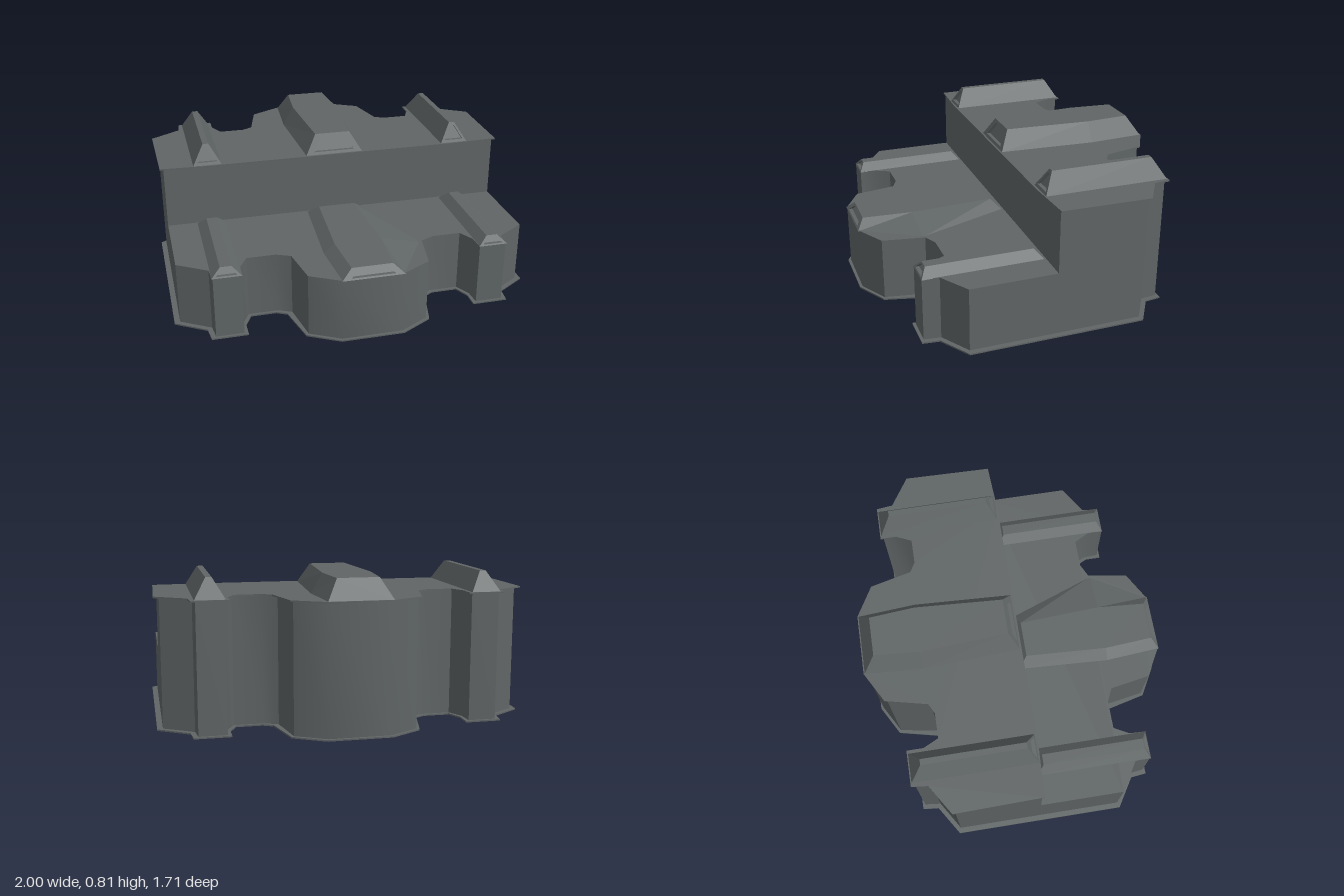
import * as THREE from 'three';
import { toCreasedNormals } from 'three/addons/utils/BufferGeometryUtils.js';

const stone = new THREE.MeshStandardMaterial({ color: 0x606565 });
stone.name = 'dark grey';

// Half outlines as [x, z], from the flank to the central bay
const wallLine = [[0.97, 0.47], [0.81, 0.57], [0.8, 0.66], [0.65, 0.66], [0.645, 0.57],
  [0.6, 0.485], [0.44, 0.485], [0.365, 0.52], [0.325, 0.75], [0.165, 0.84]];
const plateLine = [[1, 0.48], [0.835, 0.585], [0.825, 0.675], [0.63, 0.675], [0.63, 0.585],
  [0.59, 0.5], [0.45, 0.5], [0.395, 0.53], [0.34, 0.76], [0.17, 0.855]];

// One side of the footprint, running from +x to -x
function side(line, s) {
  const half = line.map(([x, z]) => [x, z * s]);
  return [...half, ...half.map(([x, z]) => [-x, z]).reverse()];
}

// Vertical prism between two heights
function prism(name, points, y0, y1) {
  const shape = new THREE.Shape(points.map(([x, z]) => new THREE.Vector2(x, z)));
  const geo = new THREE.ExtrudeGeometry(shape, { depth: y1 - y0, bevelEnabled: false });
  geo.rotateX(Math.PI / 2).translate(0, y1, 0);
  const mesh = new THREE.Mesh(toCreasedNormals(geo, 0.75), stone);
  mesh.name = name;
  return mesh;
}

// Roof ridge lofted through sections from back to front, with a recessed front panel.
// Section: [base z, top z, base left, top left, top right, base right]
function ridge(name, sections, y0, y1, x = 0) {
  const rings = sections.map(([zb, zt, bl, tl, tr, br]) => [
    new THREE.Vector3(x + bl, y0, zb), new THREE.Vector3(x + tl, y1, zt),
    new THREE.Vector3(x + tr, y1, zt), new THREE.Vector3(x + br, y0, zb)]);
  const front = rings[rings.length - 1];
  const centre = front.reduce((c, p) => c.addScaledVector(p, 0.25), new THREE.Vector3());
  const frame = front.map(p => p.clone().lerp(centre, 0.3));
  const recess = frame.map(p => p.clone().add(new THREE.Vector3(0, 0, -0.02)));
  rings.push(frame, recess);

  const pos = [];
  const quad = (a, b, c, d) => [a, b, c, a, c, d].forEach(p => pos.push(p.x, p.y, p.z));
  quad(...rings[0]);
  for (let i = 0; i < rings.length - 1; i++) {
    for (let k = 0; k < 4; k++) {
      const n = (k + 1) % 4;
      quad(rings[i][k], rings[i + 1][k], rings[i + 1][n], rings[i][n]);
    }
  }
  quad(...[...recess].reverse());
  const geo = new THREE.BufferGeometry();
  geo.setAttribute('position', new THREE.Float32BufferAttribute(pos, 3));
  geo.computeVertexNormals();
  const mesh = new THREE.Mesh(geo, stone);
  mesh.name = name;
  return mesh;
}

export function createModel() {
  const model = new THREE.Group();
  model.name = 'building';

  // Tall rear block, low front block
  model.add(prism('rearBlock', [[0.97, 0], ...side(wallLine, -1), [-0.97, 0]], 0.006, 0.7));
  model.add(prism('frontBlock', [[0.97, 0], ...side(wallLine, 1), [-0.97, 0]], 0.006, 0.355));

  // Overhanging base and roof plates
  model.add(prism('basePlate', [...side(plateLine, 1), ...side(plateLine, -1).reverse()], 0, 0.008));
  model.add(prism('roofPlate',
    [[0.99, 0.005], ...side(plateLine, -1), [-0.99, 0.005], [-0.72, 0.02], [0.72, 0.02]], 0.698, 0.706));

  // Central ridges
  model.add(ridge('rearCentreRidge', [
    [-0.85, -0.78, -0.17, -0.11, 0.11, 0.17],
    [-0.53, -0.53, -0.193, -0.13, 0.13, 0.193],
    [0.01, -0.045, -0.165, -0.1, 0.1, 0.165]], 0.704, 0.813));
  model.add(ridge('frontCentreRidge', [
    [0.01, 0.06, -0.165, -0.105, 0.105, 0.165],
    [0.53, 0.53, -0.193, -0.13, 0.13, 0.355],
    [0.845, 0.805, -0.168, -0.11, 0.11, 0.168]], 0.353, 0.403));

  // Narrow ridges over the flanking piers
  for (const s of [-1, 1]) {
    const sideName = s > 0 ? 'left' : 'right';
    model.add(ridge(sideName + 'RearRidge', [
      [-0.67, -0.605, -0.08, -0.016, 0.016, 0.08],
      [0.01, -0.045, -0.08, -0.016, 0.016, 0.08]], 0.704, 0.813, s * 0.727));
    model.add(ridge(sideName + 'FrontRidge', [
      [0.01, 0.05, -0.08, -0.03, 0.03, 0.08],
      [0.662, 0.63, -0.08, -0.03, 0.03, 0.08]], 0.353, 0.4, s * 0.727));
  }
  return model;
}
